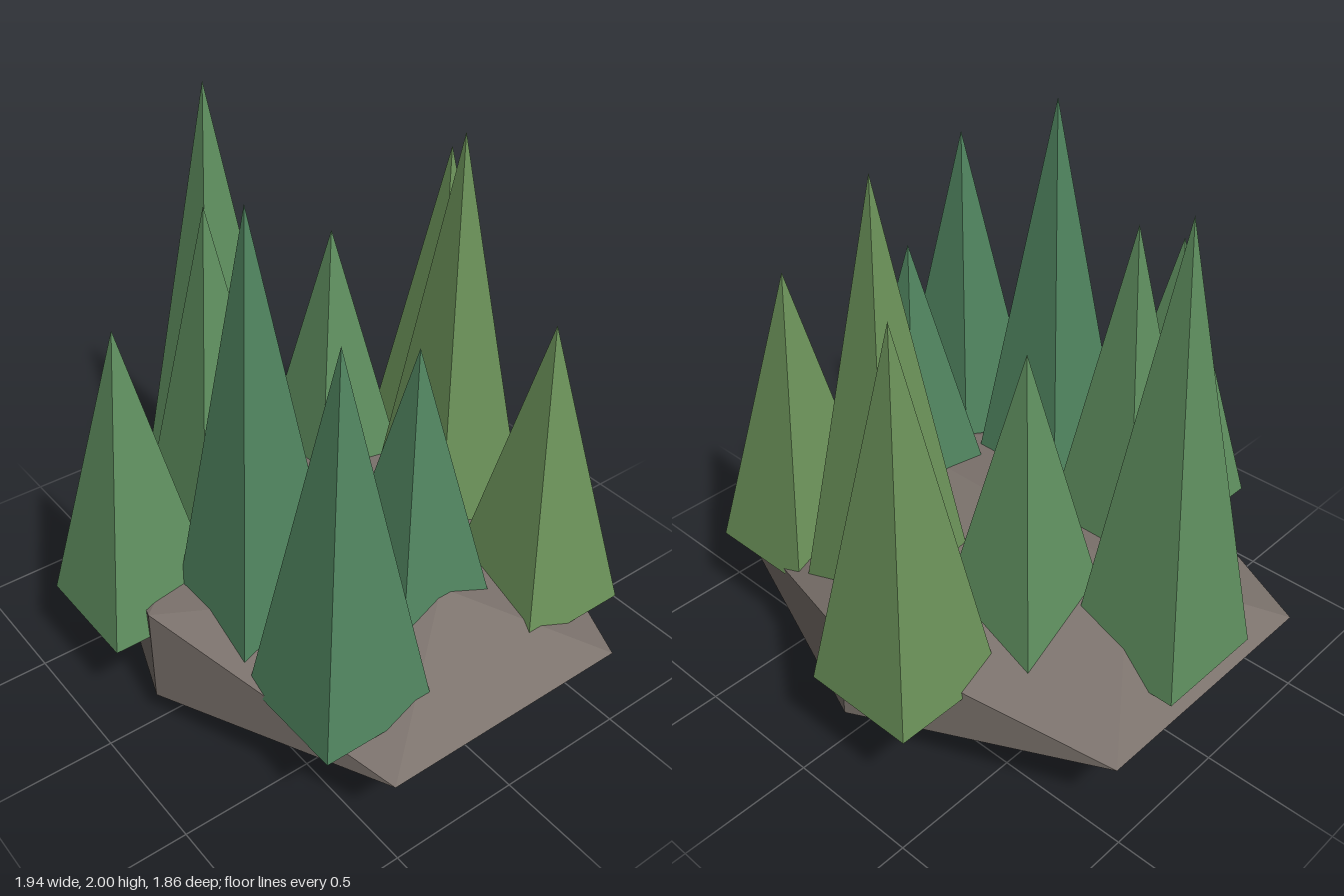
import * as THREE from 'three';

const BASE_Y = 0.39;      // underside of every tree
const HALF_WIDTH = 0.218; // half side of a tree's square base

const material = (color) => new THREE.MeshStandardMaterial({ color, flatShading: true });

export function createModel() {
  const group = new THREE.Group();
  group.name = 'treeIsland';

  // squashed twenty-sided rock, resting on its lower edge
  const rockGeometry = new THREE.IcosahedronGeometry(1, 0);
  rockGeometry.scale(1.141, 0.366, 0.94);
  rockGeometry.translate(0, 0.311, 0);
  const rock = new THREE.Mesh(rockGeometry, material(0x7b726c));
  rock.name = 'rock';
  group.add(rock);

  const green = material(0x5f8f5f);
  const teal = material(0x50845f);
  const olive = material(0x6b9259);

  // each tree: x, z, tip height, foliage
  const trees = [
    [-0.75, 0, 2, green],
    [0.137, 0.43, 2, teal],
    [0.137, -0.43, 2, olive],
    [-0.36, 0.265, 1.75, green],
    [-0.36, -0.265, 1.5, green],
    [-0.23, 0.71, 1.5, green],
    [-0.23, -0.71, 1.75, olive],
    [0.605, 0.435, 1.75, teal],
    [0.605, -0.435, 1.5, olive],
    [0.445, 0, 1.5, teal],
  ];

  // square pyramids with sides parallel to x and z
  trees.forEach(([x, z, tip, foliage], i) => {
    const height = tip - BASE_Y;
    const geometry = new THREE.ConeGeometry(HALF_WIDTH * Math.SQRT2, height, 4);
    geometry.rotateY(Math.PI / 4);
    const tree = new THREE.Mesh(geometry, foliage);
    tree.name = `tree${i + 1}`;
    tree.position.set(x, BASE_Y + height / 2, z);
    group.add(tree);
  });

  return group;
}
